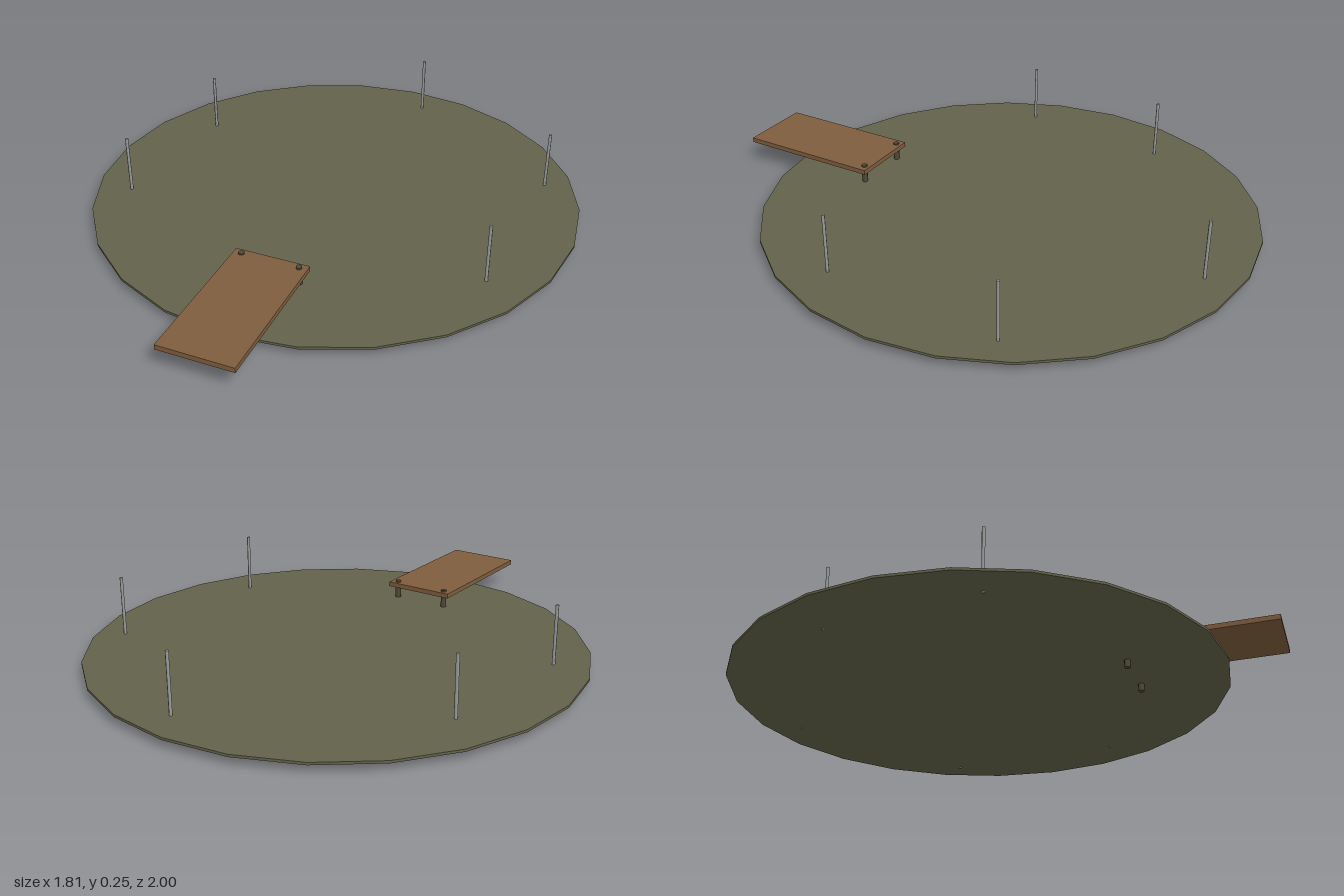
import * as THREE from 'three';

export function createModel() {
  const group = new THREE.Group();
  const material = (name, color) => {
    const m = new THREE.MeshStandardMaterial({ color });
    m.name = name;
    return m;
  };
  const olive = material('murky olive', 0x62614a);
  const plank = material('plank brown', 0x7f5d3d);
  const piling = material('dark piling', 0x4f4b39);
  const reed = material('pale grey', 0x9c9d9d);

  const add = (name, geometry, mat, x, y, z) => {
    const mesh = new THREE.Mesh(geometry, mat);
    mesh.name = name;
    mesh.position.set(x, y, z);
    group.add(mesh);
  };

  // Thin 24-sided pond disc
  add('pondSurface', new THREE.CylinderGeometry(0.903, 0.903, 0.009, 24), olive, 0, 0.0325, -0.097);

  // Jetty deck reaching past the front rim
  add('jettyDeck', new THREE.BoxGeometry(0.272, 0.018, 0.545), plank, 0, 0.091, 0.7275);

  // Two pilings under the inner end, their tops just above the deck
  const pilingGeometry = new THREE.CylinderGeometry(0.011, 0.011, 0.106, 8);
  for (const side of [-1, 1]) {
    add(side > 0 ? 'leftPiling' : 'rightPiling', pilingGeometry, piling, side * 0.106, 0.053, 0.477);
  }

  // Slender upright stakes around the pond
  const stakeGeometry = new THREE.CylinderGeometry(0.006, 0.006, 0.231, 6);
  const stakes = [[0.082, -0.873], [0.713, -0.453], [0.674, 0.22], [-0.719, 0.181], [-0.656, -0.388]];
  stakes.forEach(([x, z], i) => add(`stake${i + 1}`, stakeGeometry, reed, x, 0.1395, z));

  return group;
}
